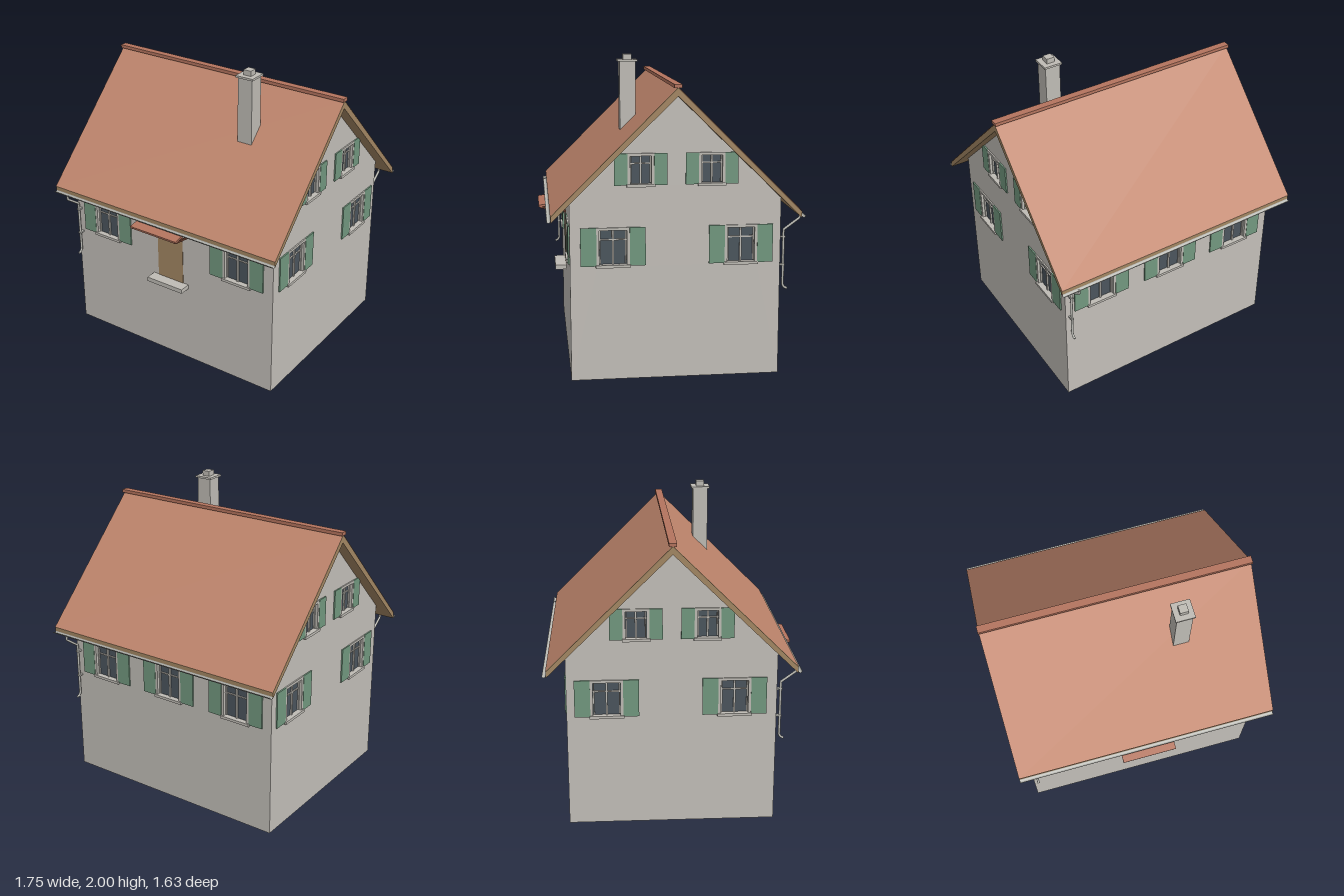
import * as THREE from 'three';

const mat = (name, color) => {
  const m = new THREE.MeshStandardMaterial({ color, side: THREE.DoubleSide });
  m.name = name;
  return m;
};

export function createModel() {
  const M = {
    wall: mat('plaster', 0xc3bfb9),
    tile: mat('roofTile', 0xc0866d),
    ridge: mat('ridgeTile', 0xb4745e),
    wood: mat('wood', 0xa38763),
    shutter: mat('shutterGreen', 0x72987f),
    trim: mat('stoneTrim', 0xbfbcb5),
    glass: mat('glass', 0x4b555d),
    metal: mat('gutterMetal', 0xbcbcb6),
    bracket: mat('darkBracket', 0x704232),
  };
  const house = new THREE.Group();
  house.name = 'house';
  const HX = 0.79, ZF = 0.63, ZB = -0.68, ZC = -0.025;
  const RIDGE = 1.825, EAVE = 1.06, RUN = 0.77, THICK = 0.05, ROOFX = 0.87;
  const slope = (RIDGE - EAVE) / RUN;

  const add = (parent, name, geometry, material) => {
    const m = new THREE.Mesh(geometry, material);
    m.name = name;
    parent.add(m);
    return m;
  };
  // Box given by its minimum and maximum corners
  const box = (parent, name, material, [x0, y0, z0], [x1, y1, z1]) => {
    const m = add(parent, name, new THREE.BoxGeometry(x1 - x0, y1 - y0, z1 - z0), material);
    m.position.set((x0 + x1) / 2, (y0 + y1) / 2, (z0 + z1) / 2);
    return m;
  };
  const rectPath = (x0, y0, x1, y1) => new THREE.Path([[x0, y0], [x0, y1], [x1, y1], [x1, y0]]
    .map(([x, y]) => new THREE.Vector2(x, y)));

  // Window in wall coordinates (outside is +z): surround, glass, bars, sill and two shutters
  function addWindow(parent, { x, y0, y1, w, s }) {
    const g = new THREE.Group();
    g.name = 'window';
    g.position.x = x;
    parent.add(g);
    const h = w / 2, t = 0.017, b = 0.004;
    for (const k of [-1, 1]) {
      const a = k * h, c = k * (h - t), e = k * (h + s);
      box(g, 'jamb', M.trim, [Math.min(a, c), y0, -0.03], [Math.max(a, c), y1, 0.008]);
      box(g, 'shutter', M.shutter, [Math.min(a, e), y0 + 0.005, 0.001], [Math.max(a, e), y1, 0.01]);
      box(g, 'casementEdge', M.trim, [k * (h - t - 0.006) - b, y0 + t, -0.022], [k * (h - t - 0.006) + b, y1 - t, -0.008]);
    }
    box(g, 'lintel', M.trim, [-h, y1 - t, -0.03], [h, y1, 0.0085]);
    box(g, 'sill', M.trim, [-h - 0.005, y0 - 0.006, -0.03], [h + 0.005, y0 + 0.012, 0.018]);
    box(g, 'glassPane', M.glass, [-h + t, y0, -0.024], [h - t, y1 - t, -0.018]);
    box(g, 'middlePost', M.trim, [-0.006, y0, -0.022], [0.006, y1 - t, -0.008]);
    const bar = y0 + (y1 - y0) * 0.68;
    box(g, 'crossBar', M.trim, [-h + t, bar - b, -0.022], [h - t, bar + b, -0.01]);
  }

  // Thin wall with window and door openings
  function addWall(name, outline, windows, door) {
    const g = new THREE.Group();
    g.name = name;
    const shape = new THREE.Shape(outline.map(([x, y]) => new THREE.Vector2(x, y)));
    for (const { x, y0, y1, w } of windows) {
      shape.holes.push(rectPath(x - w / 2 + 0.005, y0, x + w / 2 - 0.005, y1 - 0.005));
    }
    if (door) shape.holes.push(rectPath(...door));
    add(g, 'wallFace', new THREE.ShapeGeometry(shape), M.wall);
    windows.forEach((win) => addWindow(g, win));
    house.add(g);
    return g;
  }

  const low = (x) => ({ x, y0: 0.725, y1: 0.97, w: 0.205, s: 0.098 });
  const high = (x) => ({ x, y0: 1.225, y1: 1.425, w: 0.163, s: 0.081 });
  const under = (z) => RIDGE - THICK - Math.abs(z - ZC) * slope + 0.01;
  const side = [[-HX, 0], [HX, 0], [HX, under(ZF)], [-HX, under(ZF)]];

  // Front and back walls
  const front = addWall('frontWall', side, [low(-0.525), low(0.52)], [-0.1, 0.575, 0.1, 0.96]);
  front.position.z = ZF;
  const back = addWall('backWall', side, [low(-0.525), low(0), low(0.525)]);
  back.rotation.y = Math.PI;
  back.position.z = ZB;

  // Gable walls, mirrored
  for (const k of [1, -1]) {
    const u = (z) => -k * z;
    const outline = [[u(ZF), 0], [u(ZB), 0], [u(ZB), under(ZB)], [u(ZC), under(ZC)], [u(ZF), under(ZF)]];
    const gable = addWall(k > 0 ? 'leftGable' : 'rightGable', outline,
      [low(u(0.365)), low(u(-0.43)), high(u(0.193)), high(u(-0.245))]);
    gable.rotation.y = k * Math.PI / 2;
    gable.position.x = k * HX;
  }

  // Door and step
  box(house, 'door', M.wood, [-0.1, 0.575, ZF - 0.02], [0.1, 0.96, ZF + 0.003]);
  box(house, 'doorStep', M.trim, [-0.14, 0.55, ZF], [0.14, 0.58, 0.705]);

  // Canopy over the door with its two brackets
  const canopy = new THREE.Group();
  canopy.name = 'doorCanopy';
  house.add(canopy);
  const strip = (name, material, x, w, t, [z0, y0], [z1, y1]) => {
    const m = add(canopy, name, new THREE.BoxGeometry(w, t, Math.hypot(z1 - z0, y1 - y0)), material);
    m.position.set(x, (y0 + y1) / 2, (z0 + z1) / 2);
    m.rotation.x = -Math.atan2(y1 - y0, z1 - z0);
  };
  strip('canopyRoof', M.ridge, 0, 0.36, 0.014, [ZF, 1.022], [0.81, 0.994]);
  for (const x of [-0.168, 0.168]) strip('canopyBracket', M.bracket, x, 0.012, 0.012, [ZF, 0.956], [0.8, 0.986]);

  // Roof: timber chevron, tiled slopes, ridge cap, gutters and downpipes
  const roof = new THREE.Group();
  roof.name = 'roof';
  roof.position.z = ZC;
  house.add(roof);
  const chevron = new THREE.Shape([[-RUN, EAVE], [-RUN, EAVE - THICK + 0.01], [0, RIDGE - THICK],
    [RUN, EAVE - THICK + 0.01], [RUN, EAVE], [0, RIDGE]].map(([x, y]) => new THREE.Vector2(x, y)));
  const timber = add(roof, 'roofTimber',
    new THREE.ExtrudeGeometry(chevron, { depth: ROOFX * 2, bevelEnabled: false }), M.wood);
  timber.rotation.y = Math.PI / 2;
  timber.position.x = -ROOFX;
  box(roof, 'ridgeCap', M.ridge, [-0.875, RIDGE - 0.002, -0.024], [0.875, 1.845, 0.024]);

  for (const turn of [0, Math.PI]) {
    const half = new THREE.Group();
    half.name = turn ? 'backSlope' : 'frontSlope';
    half.rotation.y = turn;
    roof.add(half);
    const tiles = add(half, 'tiles', new THREE.PlaneGeometry(ROOFX * 2, Math.hypot(RUN, RIDGE - EAVE)), M.tile);
    tiles.rotation.x = -Math.atan2(RUN, RIDGE - EAVE);
    tiles.position.set(0, (RIDGE + EAVE) / 2 + 0.002, RUN / 2 + 0.002);
    // Half-round gutter, open at the top
    const gutter = add(half, 'gutter',
      new THREE.CylinderGeometry(0.012, 0.012, ROOFX * 2, 10, 1, true, 0, Math.PI), M.metal);
    gutter.rotation.z = -Math.PI / 2;
    gutter.position.set(0, 1.034, RUN + 0.012);
    // Downpipe bending back to the wall, with a kicked-out foot
    const path = new THREE.CurvePath();
    const pts = [[0.782, 1.025], [0.782, 0.998], [0.682, 0.925], [0.682, 0.57], [0.692, 0.553], [0.71, 0.545]]
      .map(([z, y]) => new THREE.Vector3(-0.76, y, z));
    for (let i = 1; i < pts.length; i++) path.add(new THREE.LineCurve3(pts[i - 1], pts[i]));
    add(half, 'downpipe', new THREE.TubeGeometry(path, 80, 0.008, 8), M.metal);
    for (const y of [0.7, 0.88]) box(half, 'pipeClip', M.metal, [-0.77, y - 0.005, 0.653], [-0.75, y + 0.005, 0.692]);
  }

  // Chimney
  const chimney = new THREE.Group();
  chimney.name = 'chimney';
  chimney.position.set(0.342, 0, 0.235);
  house.add(chimney);
  box(chimney, 'stack', M.trim, [-0.052, 1.5, -0.05], [0.052, 1.955, 0.05]);
  box(chimney, 'capSlab', M.trim, [-0.062, 1.953, -0.062], [0.062, 1.966, 0.062]);
  box(chimney, 'flue', M.trim, [-0.027, 1.966, -0.027], [0.027, 2.0, 0.027]);

  return house;
}
